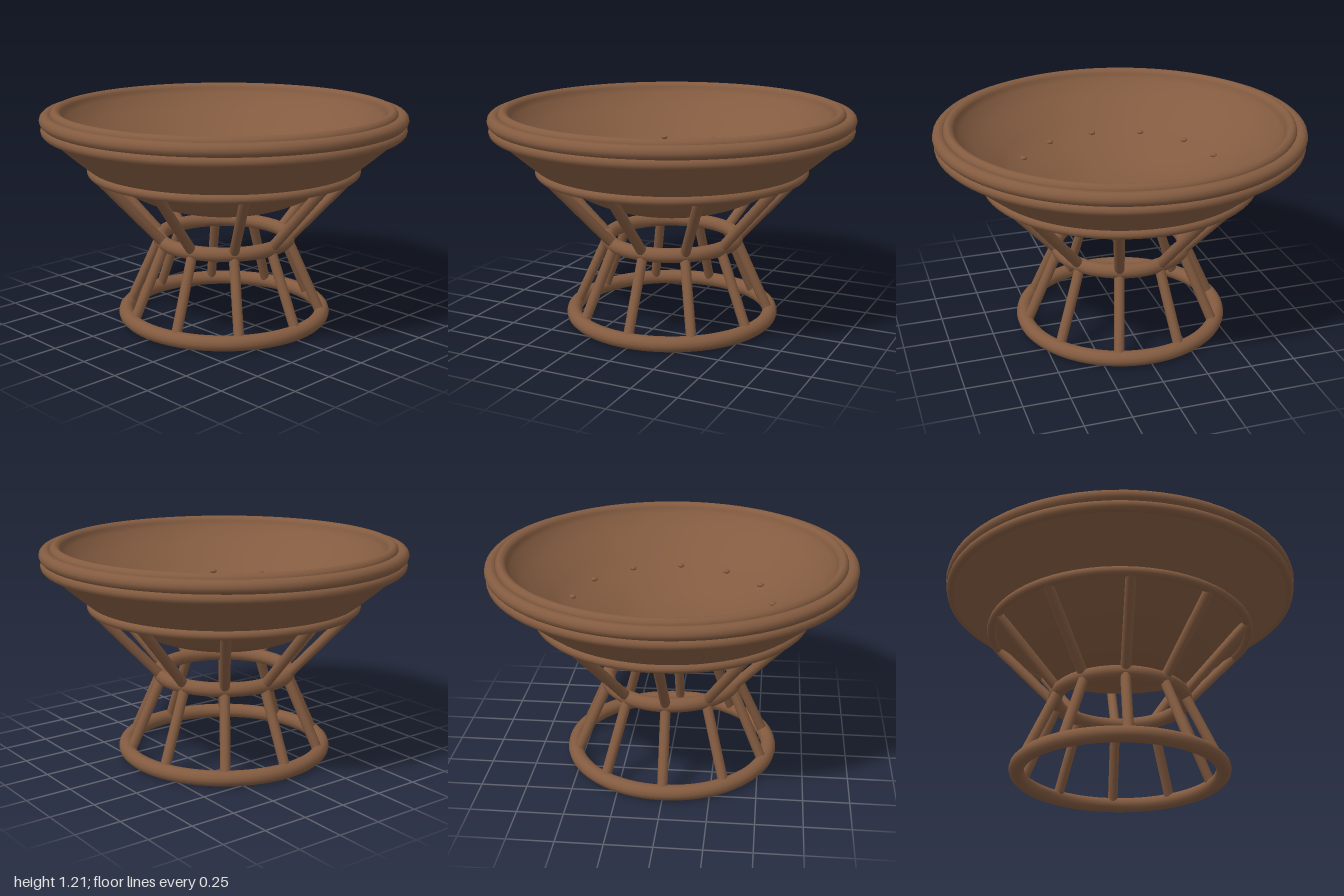
import * as THREE from 'three';

export function createModel() {
  const model = new THREE.Group();
  model.name = 'bowlChair';
  const rattan = new THREE.MeshStandardMaterial({ color: 0x835b40 });
  rattan.name = 'brown rattan';

  function add(name, geometry, parent = model) {
    const mesh = new THREE.Mesh(geometry, rattan);
    mesh.name = name;
    parent.add(mesh);
    return mesh;
  }

  // Horizontal hoop: centre-line radius, tube radius, height
  function hoop(name, radius, tube, y) {
    const geometry = new THREE.TorusGeometry(radius, tube, 12, 72);
    add(name, geometry.rotateX(-Math.PI / 2).translate(0, y, 0));
  }

  // Surface of revolution through a few [radius, height] points
  function turned(name, points, steps) {
    const curve = new THREE.SplineCurve(points.map(([r, y]) => new THREE.Vector2(r, y)));
    const profile = curve.getPoints(steps);
    profile.forEach((p) => { p.x = Math.max(0, p.x); });
    return add(name, new THREE.LatheGeometry(profile, 72));
  }

  // Straight round cane between two points
  function cane(name, from, to, radius, parent) {
    const axis = to.clone().sub(from);
    const mesh = add(name, new THREE.CylinderGeometry(radius, radius, axis.length(), 10), parent);
    mesh.position.copy(from).lerp(to, 0.5);
    mesh.quaternion.setFromUnitVectors(new THREE.Vector3(0, 1, 0), axis.normalize());
  }

  const polar = (r, y, a) => new THREE.Vector3(r * Math.cos(a), y, r * Math.sin(a));

  // Hourglass stand
  hoop('baseRing', 0.556, 0.042, 0.045);
  hoop('waistRing', 0.36, 0.04, 0.47);
  hoop('supportRing', 0.727, 0.027, 0.865);

  const struts = new THREE.Group();
  struts.name = 'struts';
  model.add(struts);
  for (let i = 0; i < 10; i++) {
    const a = (i / 10) * Math.PI * 2;
    cane('lowerStrut', polar(0.55, 0.05, a), polar(0.36, 0.47, a), 0.028, struts);
    cane('upperStrut', polar(0.36, 0.47, a), polar(0.72, 0.86, a), 0.028, struts);
  }

  // Bowl with its two rim hoops
  turned('bowl', [[0, 0.62], [0.25, 0.647], [0.48, 0.725], [0.73, 0.88], [0.97, 1.085]], 32);
  hoop('lowerRim', 0.963, 0.031, 1.1);
  hoop('upperRim', 0.964, 0.036, 1.155);

  // Cushion with a rolled lip and a hollow seat
  turned('cushion', [
    [0.942, 1.15], [0.94, 1.19], [0.918, 1.21], [0.89, 1.197], [0.868, 1.155],
    [0.8, 1.085], [0.68, 1.0], [0.55, 0.925], [0.3, 0.835], [0.12, 0.804], [0, 0.8],
  ], 60);

  // Ring of tufting buttons
  const buttons = new THREE.Group();
  buttons.name = 'buttons';
  model.add(buttons);
  for (let i = 0; i < 12; i++) {
    const a = (i / 12) * Math.PI * 2;
    const button = add('button', new THREE.SphereGeometry(0.02, 14, 10), buttons);
    button.scale.y = 0.6;
    button.position.copy(polar(0.55, 0.93, a));
  }

  return model;
}
